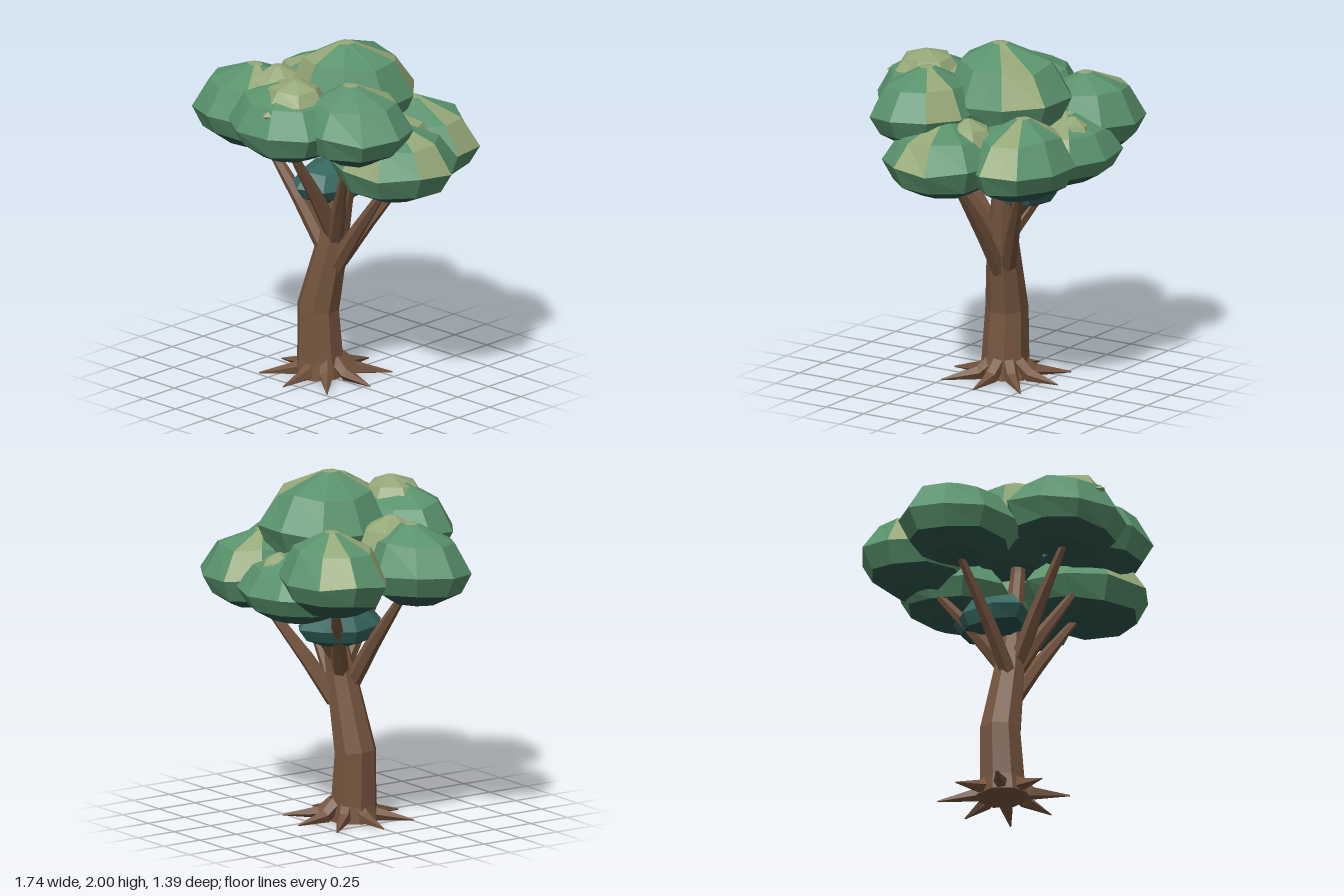
import * as THREE from 'three';

const V = (x, y, z) => new THREE.Vector3(x, y, z);
const mat = (color) => new THREE.MeshStandardMaterial({ color, flatShading: true, roughness: 1 });
const BARK = mat(0x75553f), LEAF = mat(0x5a936d), SHADE = mat(0x2f564b),
  MOSS = mat(0x95a878), TEAL = mat(0x35665f), DEEP = mat(0x27504c);

// small repeatable noise in -1..1
const noise = (n) => {
  const s = Math.sin(n * 127.1 + 11.7) * 43758.5453;
  return (s - Math.floor(s)) * 2 - 1;
};

// joins rings (listed from top to bottom) with triangles;
// pick(row, side) names the bucket each facet goes into
function loft(rings, pick = () => 0) {
  const buckets = {};
  for (let r = 0; r < rings.length - 1; r++) {
    const T = rings[r], L = rings[r + 1], n = T.length;
    for (let i = 0; i < n; i++) {
      const j = (i + 1) % n;
      const out = (buckets[pick(r, i)] ??= []);
      for (const [a, b, c] of [[T[i], T[j], L[i]], [T[j], L[j], L[i]]]) {
        if (a.equals(b) || b.equals(c) || a.equals(c)) continue;
        for (const p of [a, b, c]) out.push(p.x, p.y, p.z);
      }
    }
  }
  return Object.entries(buckets).map(([key, pos]) => {
    const g = new THREE.BufferGeometry();
    g.setAttribute('position', new THREE.Float32BufferAttribute(pos, 3));
    g.computeVertexNormals();
    return [key, g];
  });
}

// tapered faceted limb through [x, y, z, radius] points
function limb(name, pts, sides) {
  const c = pts.map((p) => V(p[0], p[1], p[2]));
  const rings = c.map((p, k) => {
    const dir = c[Math.min(k + 1, c.length - 1)].clone().sub(c[Math.max(k - 1, 0)]).normalize();
    const q = new THREE.Quaternion().setFromUnitVectors(V(0, 1, 0), dir);
    return Array.from({ length: sides }, (_, i) => {
      const a = (i / sides) * Math.PI * 2 + 0.3;
      const v = V(Math.cos(a), 0, Math.sin(a)).multiplyScalar(pts[k][3]).applyQuaternion(q).add(p);
      v.y = Math.max(v.y, 0);
      return v;
    });
  });
  const cap = (p) => Array(sides).fill(p);
  rings.unshift(cap(c[0]));
  rings.push(cap(c[c.length - 1]));
  const mesh = new THREE.Mesh(loft(rings.reverse())[0][1], BARK);
  mesh.name = name;
  return mesh;
}

// domed leaf clump: [radius fraction, height fraction] from crown to underside
const DOME = [[0, 1], [0.13, 0.99], [0.72, 0.78], [1, 0.43], [0.82, 0.16], [0.45, 0], [0, 0.03]];

// dims: x, z, half width, half depth, bottom, top, and shift of the peak in x and z
function clump(name, [x, z, rx, rz, y0, y1, px = 0, pz = 0], seed, mossy = [], mats = [LEAF, MOSS, SHADE], sides = 9) {
  const group = new THREE.Group();
  group.name = name;
  const rings = DOME.map(([r, h], k) => Array.from({ length: sides }, (_, i) => {
    const a = ((i + seed * 0.37) / sides) * Math.PI * 2;
    const s = r * (1.02 + 0.05 * noise(seed * 31 + i));
    const dy = k > 1 && k < 5 ? 0.04 * noise(seed * 17 + i * 5 + k) : 0;
    return V(x + px * (1 - r) * h + Math.cos(a) * rx * s, y0 + (y1 - y0) * (h + dy), z + pz * (1 - r) * h + Math.sin(a) * rz * s);
  }));
  const pick = (row, i) => (row >= 4 ? 2 : row < 1 || (row < 3 && mossy.includes(i)) ? 1 : 0);
  for (const [key, g] of loft(rings, pick)) {
    const mesh = new THREE.Mesh(g, mats[key]);
    mesh.name = ['leaves', 'mossyLeaves', 'shadedLeaves'][key];
    group.add(mesh);
  }
  return group;
}

export function createModel() {
  const tree = new THREE.Group();
  tree.name = 'tree';

  // leaning trunk, reaching into the crown
  tree.add(limb('trunk', [
    [-0.08, 0, 0, 0.15], [-0.085, 0.1, 0, 0.135], [-0.1, 0.4, 0, 0.122],
    [-0.01, 0.82, -0.03, 0.09], [0.04, 1.1, -0.06, 0.06], [0.085, 1.45, -0.07, 0.045], [0.08, 1.7, -0.07, 0.03],
  ], 8));

  // pointed roots, evenly spread, the diagonal ones longer
  const roots = new THREE.Group();
  roots.name = 'roots';
  for (let i = 0; i < 8; i++) {
    const a = (i / 8) * Math.PI * 2;
    const at = (d, y, r) => [-0.06 + Math.cos(a) * d, y, -0.02 + Math.sin(a) * d, r];
    roots.add(limb('root', [at(0.08, 0.1, 0.045), at(0.16, 0.035, 0.04), at(0.345 + (i % 2) * 0.03, 0.008, 0.004)], 5));
  }
  tree.add(roots);

  // branches, one to each outer clump
  const branches = [
    [-0.05, 0.78, 0.01, -0.5, 1.42, 0.09],
    [-0.04, 0.86, -0.06, -0.36, 1.36, -0.33],
    [0.0, 0.63, -0.02, 0.48, 1.3, 0.0],
    [0.0, 0.68, -0.07, 0.34, 1.3, -0.38],
    [0.02, 0.86, 0.0, 0.05, 1.52, 0.42],
    [0.03, 0.84, 0.0, 0.3, 1.34, 0.2],
    [0.0, 0.95, -0.07, -0.09, 1.3, -0.38],
  ];
  for (const [x, y, z, X, Y, Z] of branches) {
    const mid = [0.35 * X + 0.65 * x, 0.38 * Y + 0.62 * y, 0.35 * Z + 0.65 * z, 0.043];
    tree.add(limb('branch', [[x, y, z, 0.05], mid, [X, Y, Z, 0.018]], 6));
  }

  // main clumps
  const canopy = new THREE.Group();
  canopy.name = 'canopy';
  [
    ['crownClump', [0.055, -0.12, 0.36, 0.36, 1.48, 2.0, 0.005, 0.07], [2, 7]],
    ['frontClump', [0.04, 0.405, 0.365, 0.3, 1.44, 1.87, 0.02, 0.02], [6]],
    ['frontLeftClump', [0.4, 0.21, 0.355, 0.3, 1.45, 1.89, -0.03, 0.02], [6]],
    ['rightClump', [-0.5, 0.13, 0.37, 0.3, 1.33, 1.78, 0.01, -0.03], [8]],
    ['backRightClump', [-0.41, -0.37, 0.335, 0.295, 1.31, 1.77, 0.05, 0.02], [1, 3]],
    ['backLeftClump', [0.35, -0.37, 0.32, 0.31, 1.22, 1.66, -0.06, 0.01], [0, 3, 6]],
    ['leftClump', [0.5, 0.02, 0.39, 0.33, 1.22, 1.65], [6, 8]],
    ['backClump', [-0.09, -0.4, 0.36, 0.3, 1.22, 1.6, -0.01, 0], [5]],
  ].forEach(([name, dims, mossy], i) => canopy.add(clump(name, dims, i + 1, mossy)));

  // light tufts bedded into the tops of the clumps
  [
    [-0.34, 0.08, 0.21, 0.22, 1.42, 1.8],
    [0.1, 0.4, 0.2, 0.19, 1.68, 1.9, 0.02, 0],
    [0.46, -0.1, 0.16, 0.16, 1.42, 1.65],
    [-0.04, -0.48, 0.1, 0.12, 1.4, 1.6],
  ].forEach((dims, i) => canopy.add(clump('tuft', dims, i + 20, [], [MOSS, MOSS, MOSS], 7)));

  // dark inner clump under the canopy
  canopy.add(clump('innerClump', [-0.08, -0.09, 0.19, 0.26, 1.03, 1.27], 30, [], [TEAL, TEAL, DEEP], 8));

  // tiny leaf poking out of the front clump
  const leaf = new THREE.Mesh(new THREE.OctahedronGeometry(0.035), MOSS);
  leaf.name = 'leaf';
  leaf.position.set(0.115, 1.74, 0.63);
  leaf.scale.y = 0.7;
  canopy.add(leaf);

  tree.add(canopy);
  return tree;
}
